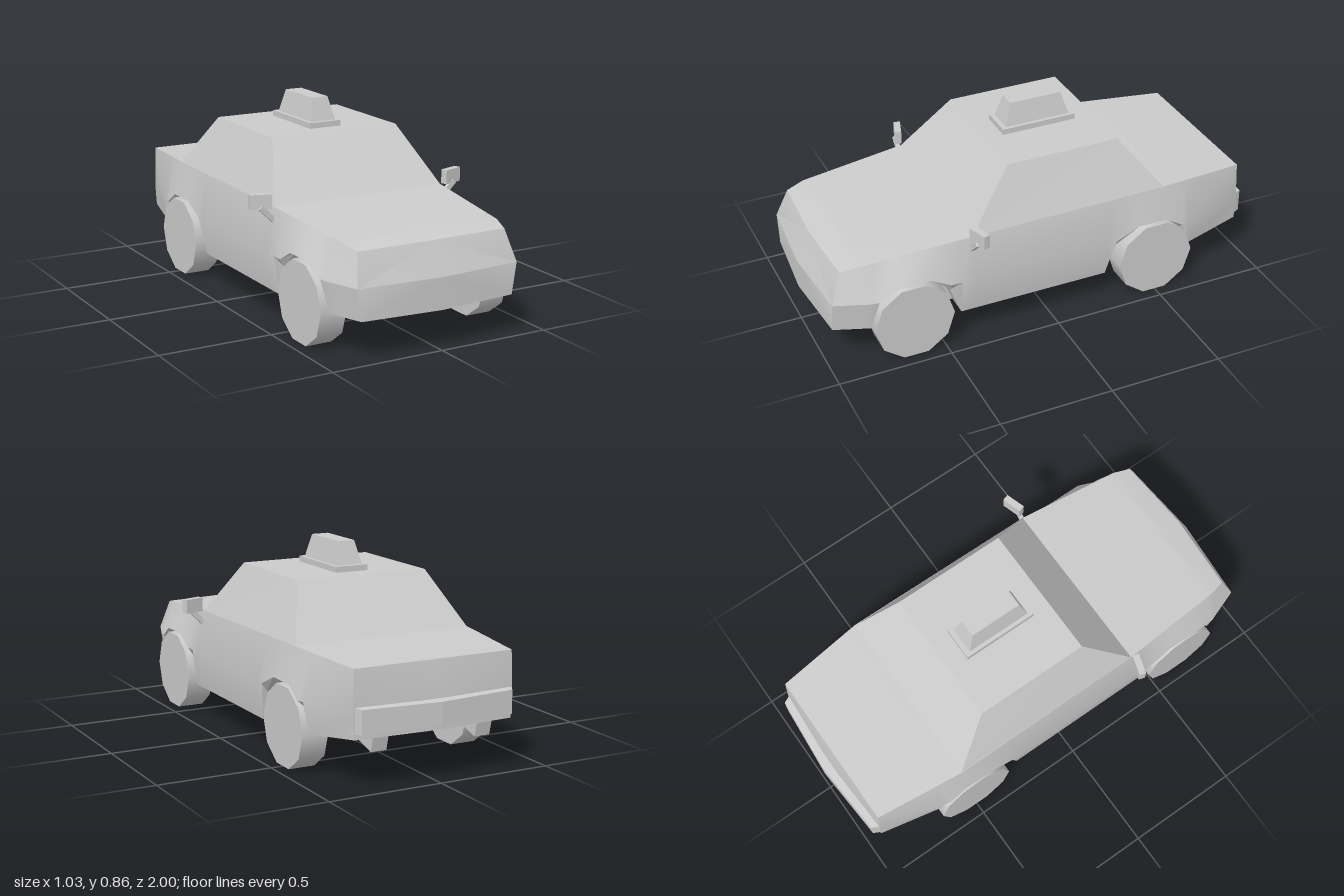
import * as THREE from 'three';
import { toCreasedNormals } from 'three/addons/utils/BufferGeometryUtils.js';

const material = new THREE.MeshStandardMaterial({ color: 0xcccccc });

// Piecewise linear lookup through [z, value] keys, listed front to back
function along(keys, z) {
  for (let i = 0; i < keys.length - 1; i++) {
    const [z0, v0] = keys[i], [z1, v1] = keys[i + 1];
    if (z >= z1) return v0 + (v1 - v0) * Math.min(1, (z0 - z) / (z0 - z1));
  }
  return keys[keys.length - 1][1];
}

function addMesh(parent, name, geometry) {
  const mesh = new THREE.Mesh(geometry, material);
  mesh.name = name;
  parent.add(mesh);
  return mesh;
}

// Tapered box: each end is { x: half width, front, back, y, yBack }
function frustum(bottom, top) {
  const geo = new THREE.BoxGeometry(2, 2, 2).toNonIndexed();
  const p = geo.attributes.position;
  for (let i = 0; i < p.count; i++) {
    const e = p.getY(i) > 0 ? top : bottom, front = p.getZ(i) > 0;
    p.setXYZ(i, p.getX(i) * e.x, front ? e.y : e.yBack ?? e.y, front ? e.front : e.back);
  }
  geo.computeVertexNormals();
  return geo;
}

// Lower body: half cross-sections lofted front to back and mirrored, with open wheel arches
function bodyGeometry() {
  const arch = [[0.97, 0.17], [0.82, 0.17], [0.785, 0.29], [0.7, 0.355], [0.56, 0.355], [0.47, 0.27], [0.42, 0.14],
    [-0.26, 0.14], [-0.3, 0.27], [-0.41, 0.355], [-0.545, 0.355], [-0.625, 0.28], [-0.66, 0.17], [-0.945, 0.21]];
  const floor = [[0.97, 0.17], [0.82, 0.17], [0.42, 0.14], [-0.26, 0.14], [-0.66, 0.17], [-0.945, 0.21]];
  const sillX = [[0.97, 0.355], [0.82, 0.41], [0.7, 0.42], [-0.6, 0.42], [-0.945, 0.36]];
  const bellyX = [[0.97, 0.375], [0.82, 0.43], [0.7, 0.443], [-0.63, 0.443], [-0.945, 0.366]];
  const shoulderX = [[0.97, 0.345], [0.84, 0.365], [0.36, 0.407], [-0.54, 0.41], [-0.945, 0.363]];
  const shoulderY = [[0.97, 0.437], [0.84, 0.455], [0.36, 0.495], [-0.54, 0.507], [-0.945, 0.49]];
  const crown = [[0.97, 0.006], [0.84, 0.008], [0.36, 0], [-0.945, 0]];

  const stations = [...arch.map(k => k[0]), 0.84, 0.36, -0.54].sort((a, b) => b - a);
  const V = (x, y, z) => new THREE.Vector3(x, y, z);
  const rings = stations.map((z, i) => {
    const nose = i === 0, tail = i === stations.length - 1;
    const bow = nose ? 0.03 : tail ? -0.02 : 0;
    const topZ = z + (nose ? -0.05 : tail ? 0.008 : 0);
    const fy = along(floor, z), ay = Math.max(fy, along(arch, z)), sy = along(shoulderY, z);
    return [V(0, fy, z + bow), V(0.32, fy, z), V(0.32, ay, z), V(along(sillX, z), ay, z),
      V(along(bellyX, z), Math.max(ay, 0.305), z), V(along(shoulderX, z), sy, topZ),
      V(0, sy + along(crown, z), topZ + (nose ? 0.02 : 0)), V(0, 0.305, z + bow)];
  });

  const out = [];
  const tri = (a, b, c) => {
    const area = b.clone().sub(a).cross(c.clone().sub(a)).length();
    if (area < 1e-7) return;
    out.push(a.x, a.y, a.z, b.x, b.y, b.z, c.x, c.y, c.z);
    out.push(-a.x, a.y, a.z, -c.x, c.y, c.z, -b.x, b.y, b.z);
  };
  const quad = (a, b, c, d) => { tri(a, b, c); tri(a, c, d); };

  for (let i = 0; i < rings.length - 1; i++) {
    const f = rings[i], b = rings[i + 1];
    for (let j = 0; j < 6; j++) quad(f[j], b[j], b[j + 1], f[j + 1]);
  }
  // Nose and tail faces, each bent at bumper height
  const n = rings[0], t = rings[rings.length - 1];
  quad(n[3], n[4], n[7], n[0]);
  quad(n[4], n[5], n[6], n[7]);
  quad(t[0], t[7], t[4], t[3]);
  quad(t[7], t[6], t[5], t[4]);

  const geo = new THREE.BufferGeometry();
  geo.setAttribute('position', new THREE.Float32BufferAttribute(out, 3));
  return toCreasedNormals(geo, 0.4);
}

// Rear bumper: bowed plan, extruded upwards
function bumperGeometry() {
  const plan = new THREE.Shape([[-0.366, 0.93], [0.366, 0.93], [0.345, 0.975], [0, 1], [-0.345, 0.975]]
    .map(([x, y]) => new THREE.Vector2(x, y)));
  const geo = new THREE.ExtrudeGeometry(plan, { depth: 0.11, bevelEnabled: false });
  geo.rotateX(-Math.PI / 2).translate(0, 0.23, 0);
  // Slope the top and bottom towards the outer edge
  const p = geo.attributes.position;
  for (let i = 0; i < p.count; i++) {
    const outer = (-p.getZ(i) - 0.93) / 0.07;
    p.setY(i, p.getY(i) + (p.getY(i) > 0.28 ? -0.008 : 0.008) * outer);
  }
  geo.computeVertexNormals();
  return geo;
}

export function createModel() {
  const car = new THREE.Group();
  car.name = 'car';

  addMesh(car, 'body', bodyGeometry());
  addMesh(car, 'cabin', frustum(
    { x: 0.408, front: 0.36, back: -0.54, y: 0.494, yBack: 0.506 },
    { x: 0.305, front: 0.155, back: -0.36, y: 0.735 }));
  addMesh(car, 'rearBumper', bumperGeometry());

  // Roof sign
  addMesh(car, 'roofSignBase', frustum(
    { x: 0.076, front: 0.07, back: -0.27, y: 0.73 },
    { x: 0.076, front: 0.07, back: -0.27, y: 0.76 }));
  addMesh(car, 'roofSign', frustum(
    { x: 0.06, front: 0.05, back: -0.248, y: 0.758 },
    { x: 0.039, front: 0.02, back: -0.217, y: 0.86 }));

  for (const side of [1, -1]) {
    const label = side > 0 ? 'left' : 'right';

    // Ten-sided wheels
    for (const [end, z] of [['Front', 0.637], ['Rear', -0.497]]) {
      const wheel = addMesh(car, `${label}${end}Wheel`,
        new THREE.CylinderGeometry(0.177, 0.177, 0.117, 10).rotateZ(Math.PI / 2));
      wheel.position.set(side * 0.388, 0.17, z);
    }

    // Wing mirror on a slanted stalk
    const mirror = new THREE.Group();
    mirror.name = `${label}Mirror`;
    car.add(mirror);
    const head = addMesh(mirror, 'mirrorHead', new THREE.BoxGeometry(0.092, 0.062, 0.03));
    head.position.set(side * 0.468, 0.525, 0.352);
    head.rotation.y = side * 0.3;
    const stalk = addMesh(mirror, 'mirrorStalk', new THREE.BoxGeometry(0.022, 0.095, 0.018));
    stalk.position.set(side * 0.442, 0.47, 0.364);
    stalk.rotation.z = -side * 0.8;

    // Exhaust wedge under the tail
    const wedge = new THREE.Shape([[0.74, 0.195], [0.92, 0.145], [0.938, 0.215]].map(([x, y]) => new THREE.Vector2(x, y)));
    const pipe = addMesh(car, `${label}Exhaust`,
      new THREE.ExtrudeGeometry(wedge, { depth: 0.07, bevelEnabled: false }).rotateY(Math.PI / 2));
    pipe.position.x = side * 0.24 - 0.035;
  }
  return car;
}
